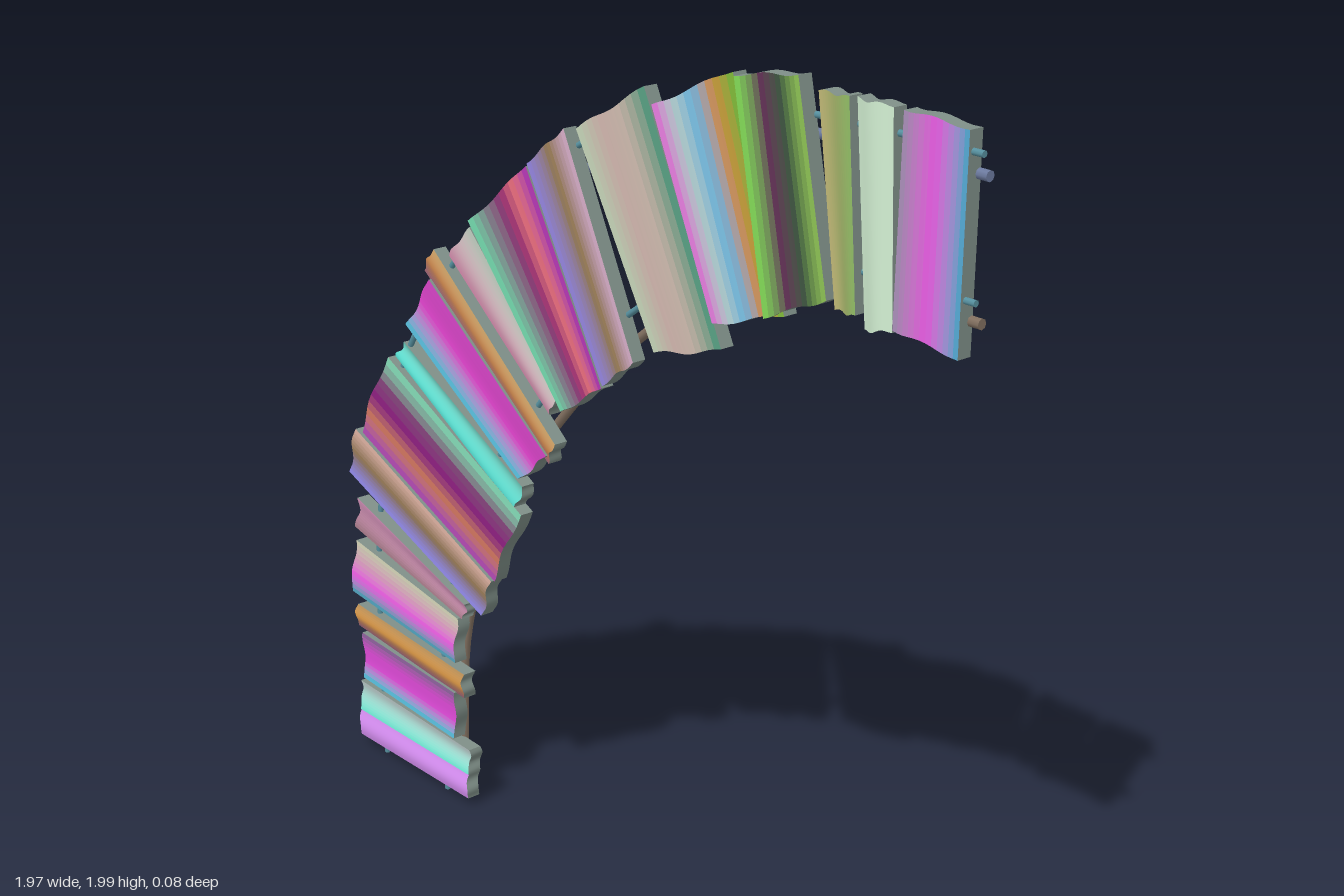
import * as THREE from 'three';

// Each plank: outer edge [x, y at its start, x, y at its end], from the foot of the arc to its far end
const OUTER = [
  [-.985, .03, -.985, .11], [-.97, .11, -.97, .19], [-.945, .21, -.935, .34], [-.96, .35, -.955, .41],
  [-.955, .45, -.94, .59], [-.935, .63, -.92, .71], [-.95, .77, -.905, .895], [-.885, .89, -.77, 1.11],
  [-.74, 1.12, -.715, 1.16], [-.695, 1.21, -.595, 1.34], [-.62, 1.355, -.575, 1.415], [-.525, 1.41, -.455, 1.49],
  [-.44, 1.51, -.24, 1.67], [-.24, 1.675, -.11, 1.775], [-.09, 1.775, .125, 1.9], [.155, 1.87, .38, 1.97],
  [.39, 1.965, .56, 1.995], [.595, 1.97, .68, 1.975], [.69, 1.975, .78, 1.97], [.805, 1.97, .955, 1.96],
];
// Matching inner edges
const INNER = [
  [-.535, .03, -.535, .1], [-.52, .105, -.52, .17], [-.57, .185, -.555, .315], [-.525, .31, -.52, .375],
  [-.535, .405, -.53, .52], [-.505, .53, -.495, .57], [-.43, .565, -.38, .67], [-.375, .67, -.275, .865],
  [-.3, .87, -.28, .93], [-.285, .95, -.18, 1.035], [-.18, 1.015, -.15, 1.07], [-.175, 1.13, -.15, 1.185],
  [-.125, 1.155, .005, 1.24], [.005, 1.245, .11, 1.325], [.155, 1.355, .36, 1.415], [.34, 1.465, .535, 1.525],
  [.485, 1.51, .65, 1.585], [.655, 1.565, .715, 1.57], [.73, 1.545, .8, 1.555], [.8, 1.56, .955, 1.54],
];
// Height of each plank's face
const FACE = [.005, .01, .02, .022, .032, .03, .037, .037, .028, .032, .034, .03, .035, .033, .026, .03, .028, .015, .012, .005];
// Colour bands along each plank, start to end, on the face
const FRONT = [
  'da91f6', '74f0da cbdada', '57bcda ef50e8 ef50e8 9164a0', '9f6574 e8a048 bd9157',
  '57aecb ef57e8 da9fbd dadabd', '9f7482 e89fcb', '9189e8 a08257 daae9f', 'bd4fbd e08060 910e82 82457a 82d8b4',
  '57e8da 74d8c8', '57bcda ef48da e048d0', '9f6574 e89857 cba065', 'e898bd bdcbbd',
  '74daae 82828e 910e74 f67482 bd3abd', '9182da a08248 dab0cb', 'cbdabd dabdb5 d0bdb0 579f82',
  'ef82e8 bddada 65bce8 da913a 82bd3a', '82da57 652b57 3a5a40 91c857', 'bdb574 91bd65', 'd2efd2', 'ae91bd ef57e8 57aeda',
];
// The same on the underside
const BACK = [
  'c08a60', 'b56d57', '5774da', '825ecb', 'daa72b', '74ae2b', '7ba02b', '57c074 ae8a8a 8aa091 57a074',
  '57a060', '5774da', '7b57cb', '74ae2b', 'ae8a8a 50c070 8aa091', '82a03a', 'daa78a',
  '8a60b0 a082bd', 'a57bc8', 'ae91da', '82b548', 'bd9f3a 8a8a30',
];
const COLUMNS = 4, ROWS = 12;

const paint = color => new THREE.MeshStandardMaterial({ color });

// Blend a list of bands at t = 0..1
function blend(bands, t) {
  const colors = bands.split(' ').map(hex => new THREE.Color('#' + hex));
  const at = t * (colors.length - 1), i = Math.floor(at);
  return colors[i].lerp(colors[Math.min(i + 1, colors.length - 1)], at - i);
}

// A warped board: bilinear between the edges, gently waved along the walk direction
function plank(index) {
  const outer = OUTER[index], inner = INNER[index];
  const geometry = new THREE.BoxGeometry(1, 1, 1, COLUMNS, ROWS, 1);
  const p = geometry.attributes.position;
  const mix = THREE.MathUtils.lerp;
  for (let i = 0; i < p.count; i++) {
    const t = p.getY(i) + .5;
    const wobble = .012 * Math.sin(t * Math.PI * 2 + index * 2.1) * (1 - (2 * t - 1) ** 2);
    const s = p.getX(i) + .5 + wobble;
    const x = mix(mix(outer[0], outer[2], t), mix(inner[0], inner[2], t), s);
    const y = mix(mix(outer[1], outer[3], t), mix(inner[1], inner[3], t), s);
    const wave = .005 * Math.sin(t * Math.PI * 1.5 + index * 1.7) - .002;
    p.setXYZ(i, x, y, FACE[index] + wave - (p.getZ(i) < 0 ? .034 : 0));
  }
  geometry.computeVertexNormals();

  // Edges share one colour; the face and underside are coloured row by row, from the end to the start
  const [faceStart, backStart] = [geometry.groups[4].start, geometry.groups[5].start];
  const materials = [paint(0x7f8f88)];
  geometry.clearGroups();
  geometry.addGroup(0, faceStart, 0);
  [[FRONT[index], faceStart], [BACK[index], backStart]].forEach(([bands, start]) => {
    for (let row = 0; row < ROWS; row++) {
      geometry.addGroup(start + row * COLUMNS * 6, COLUMNS * 6, materials.length);
      materials.push(paint(blend(bands, 1 - row / (ROWS - 1))));
    }
  });
  const mesh = new THREE.Mesh(geometry, materials);
  mesh.name = `plank${index + 1}`;
  return mesh;
}

// A rail following points in the plane, shifted toward the inside of the bend and arched forward mid-way
function rail(name, points, shift, z, arch, radius, material) {
  const flat = new THREE.CatmullRomCurve3(points.map(([x, y]) => new THREE.Vector3(x, y, z)));
  const path = [];
  for (let i = 0; i <= 24; i++) {
    const dir = flat.getTangent(i / 24);
    const offset = new THREE.Vector3(dir.y * shift, -dir.x * shift, arch * Math.sin(Math.PI * i / 24));
    path.push(flat.getPoint(i / 24).add(offset));
  }
  const tube = new THREE.TubeGeometry(new THREE.CatmullRomCurve3(path), 48, radius, 8, false);
  const group = new THREE.Group();
  group.name = name;
  group.add(new THREE.Mesh(tube, material));
  // End caps
  [[path[0], path[1]], [path[24], path[23]]].forEach(([end, next]) => {
    const cap = new THREE.Mesh(new THREE.CircleGeometry(radius, 8), material);
    cap.position.copy(end);
    cap.quaternion.setFromUnitVectors(new THREE.Vector3(0, 0, 1), end.clone().sub(next).normalize());
    group.add(cap);
  });
  return group;
}

export function createModel() {
  const model = new THREE.Group();
  model.name = 'curvedPlankWalkway';

  const planks = new THREE.Group();
  planks.name = 'planks';
  OUTER.forEach((_, i) => planks.add(plank(i)));
  model.add(planks);

  // Thin rods run through the planks, thicker rails run behind them
  const outerPath = [[-.895, .01], [-.89, .2], [-.885, .45], [-.865, .64], [-.81, .9], [-.71, 1.14], [-.5, 1.42],
    [-.32, 1.59], [-.09, 1.74], [.15, 1.85], [.35, 1.9], [.6, 1.92], [.98, 1.92]];
  const innerPath = [[-.64, .01], [-.63, .2], [-.62, .4], [-.585, .55], [-.5, .75], [-.39, .95], [-.26, 1.1],
    [-.12, 1.25], [.09, 1.43], [.31, 1.55], [.5, 1.62], [.65, 1.645], [.98, 1.65]];
  const rodPaint = paint(0x5791a0);
  [['outer', outerPath, 0x6d7ba0], ['inner', innerPath, 0x827060]].forEach(([side, path, color]) => {
    model.add(rail(`${side}Rod`, path, 0, -.013, .027, .007, rodPaint));
    model.add(rail(`${side}Rail`, path, .042, -.031, 0, .011, paint(color)));
  });
  return model;
}
